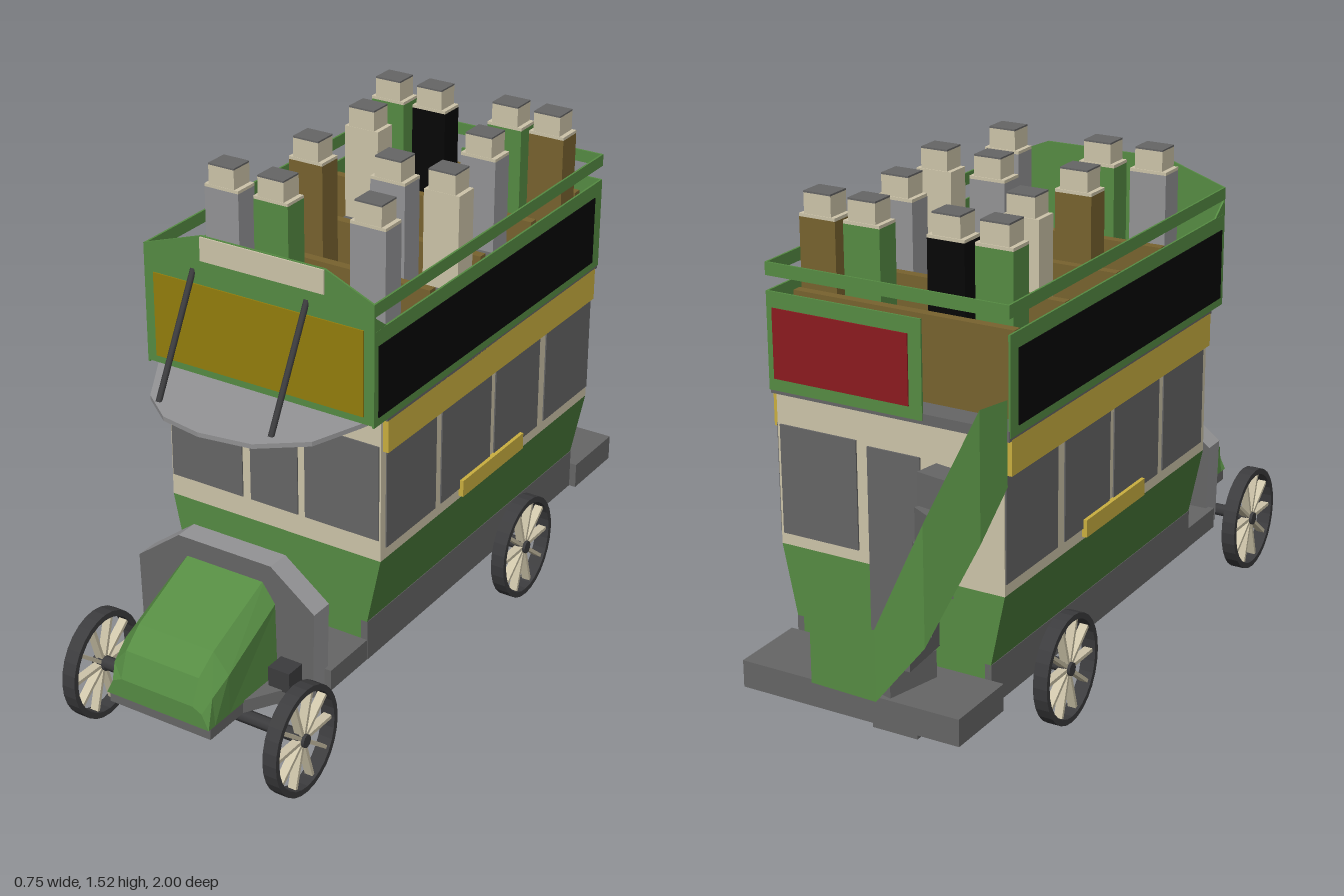
import * as THREE from 'three';

const mat = (name, color, side = THREE.FrontSide) => {
  const m = new THREE.MeshStandardMaterial({ color, side });
  m.name = name;
  return m;
};

export function createModel() {
  const green = mat('green', 0x568c43, THREE.DoubleSide);
  const cream = mat('cream', 0xcec5aa, THREE.DoubleSide);
  const grey = mat('grey', 0x666666);
  const lightGrey = mat('light grey', 0x949496);
  const dark = mat('iron', 0x3c3c3e);
  const yellow = mat('yellow', 0xcbb040);
  const gold = mat('gold', 0x947e0c);
  const black = mat('black', 0x060606);
  const red = mat('red', 0x8c1a1f);
  const brown = mat('brown', 0x78632f);

  const bus = new THREE.Group();
  bus.name = 'openTopBus';

  const add = (name, geometry, material, parent = bus) => {
    const m = new THREE.Mesh(geometry, material);
    m.name = name;
    parent.add(m);
    return m;
  };
  // box given by its limits on each axis
  const box = (name, material, x0, x1, y0, y1, z0, z1, parent) => {
    const m = add(name, new THREE.BoxGeometry(x1 - x0, y1 - y0, z1 - z0), material, parent);
    m.position.set((x0 + x1) / 2, (y0 + y1) / 2, (z0 + z1) / 2);
    return m;
  };
  // surface through equal-length cross-sections
  const loft = (sections, closed) => {
    const pos = [], n = sections[0].length;
    for (let i = 0; i + 1 < sections.length; i++) {
      for (let j = 0; j < (closed ? n : n - 1); j++) {
        const k = (j + 1) % n;
        const a = sections[i][j], b = sections[i][k], c = sections[i + 1][k], d = sections[i + 1][j];
        pos.push(...a, ...b, ...c, ...a, ...c, ...d);
      }
    }
    const g = new THREE.BufferGeometry();
    g.setAttribute('position', new THREE.Float32BufferAttribute(pos, 3));
    g.computeVertexNormals();
    return g;
  };
  const shapeOf = (pts) => new THREE.Shape(pts.map((p) => new THREE.Vector2(...p)));
  const extrude = (pts, depth) => new THREE.ExtrudeGeometry(shapeOf(pts), { depth, bevelEnabled: false });
  const rod = (name, a, b, r, material) => {
    const from = new THREE.Vector3(...a), to = new THREE.Vector3(...b);
    const m = add(name, new THREE.CylinderGeometry(r, r, from.distanceTo(to), 8), material);
    m.position.copy(from).add(to).multiplyScalar(0.5);
    m.quaternion.setFromUnitVectors(new THREE.Vector3(0, 1, 0), to.sub(from).normalize());
    return m;
  };

  // Saloon: open-bottomed walls, flared below the windows
  const ring = (w, y) => [[-w, y, 0.435], [w, y, 0.435], [w, y, -0.76], [-w, y, -0.76]];
  add('lowerBody', loft([ring(0.298, 0.26), ring(0.355, 0.535)], true), green);
  add('saloonWalls', loft([ring(0.355, 0.535), ring(0.355, 0.98)], true), cream);

  // Windows, door and advertising boards
  for (const [a, b] of [[-0.35, -0.105], [-0.077, 0.083], [0.107, 0.35]])
    box('frontWindow', grey, a, b, 0.602, 0.894, 0.434, 0.439);
  box('rearWindow', grey, 0.1, 0.345, 0.57, 0.89, -0.765, -0.759);
  box('rearDoor', grey, -0.1, 0.065, 0.28, 0.88, -0.765, -0.755);
  for (const s of [-1, 1]) {
    const side = new THREE.Group();
    side.name = s > 0 ? 'leftSide' : 'rightSide';
    bus.add(side);
    const plate = (name, m, x0, x1, y0, y1, z0, z1) =>
      box(name, m, Math.min(s * x0, s * x1), Math.max(s * x0, s * x1), y0, y1, z0, z1, side);
    for (const [a, b] of [[0.15, 0.41], [-0.155, 0.12], [-0.44, -0.18], [-0.757, -0.48]])
      plate('sideWindow', grey, 0.354, 0.359, 0.57, 0.89, a, b);
    plate('upperBoard', yellow, 0.355, 0.372, 0.877, 0.978, -0.75, 0.425);
    plate('lowerBoard', yellow, 0.355, 0.37, 0.545, 0.597, -0.335, 0.015);
    plate('chassisSkirt', grey, 0.292, 0.313, 0.2, 0.325, -0.76, 0.435);
    plate('deckSide', green, 0.368, 0.374, 0.985, 1.265, -0.76, 0.5);
    plate('deckSidePanel', black, 0.373, 0.377, 1.01, 1.22, -0.72, 0.48);
    plate('deckRail', green, 0.368, 0.374, 1.308, 1.345, -0.76, 0.5);
    const gusset = add('railGusset', extrude([[-0.5, 1.265], [-0.44, 1.265], [-0.5, 1.31]], 0.005), green, side);
    gusset.rotation.y = Math.PI / 2;
    gusset.position.x = s * 0.371 - 0.0025;
    plate('headlamp', dark, 0.185, 0.255, 0.235, 0.3, 0.66, 0.74);
  }

  // Upper deck
  box('deckFloor', grey, -0.372, 0.372, 0.975, 1.005, -0.762, 0.43);
  add('deckFront', extrude([[-0.374, 0.99], [0.374, 0.99], [0.374, 1.345], [0.22, 1.41], [-0.18, 1.41], [-0.374, 1.345]], 0.006), green)
    .position.z = 0.494;
  box('frontPanel', gold, -0.342, 0.342, 1.012, 1.265, 0.499, 0.504);
  box('destinationBoard', cream, -0.18, 0.22, 1.338, 1.408, 0.499, 0.505);
  box('deckRear', green, -0.11, 0.374, 0.985, 1.265, -0.764, -0.758);
  box('deckRearPanel', red, -0.07, 0.355, 1.02, 1.22, -0.768, -0.763);
  box('rearRail', green, -0.374, 0.374, 1.308, 1.345, -0.764, -0.758);

  // Canopy over the driver, with its two stays
  const canopy = add('canopy', extrude([[-0.355, -0.43], [-0.34, -0.5], [-0.25, -0.655], [-0.15, -0.73], [-0.02, -0.752],
    [0.14, -0.73], [0.27, -0.64], [0.33, -0.5], [0.355, -0.43]].reverse(), 0.014), lightGrey);
  canopy.rotation.x = -Math.PI / 2 + 0.05;
  canopy.position.set(0, 0.997, 0);
  for (const x of [-0.21, 0.16]) rod('canopyStay', [x, 0.975, 0.67], [x, 1.305, 0.495], 0.009, dark);

  // Cab: floor, dashboard arch and the tapering front frame
  box('cabFloor', grey, -0.312, 0.312, 0.2, 0.265, 0.43, 0.62);
  add('dashboard', extrude([[-0.29, 0.2], [0.29, 0.2], [0.297, 0.47], [0.155, 0.578], [-0.155, 0.578], [-0.297, 0.47]], 0.072), [grey, lightGrey])
    .position.z = 0.605;
  const wedge = add('underTray', extrude([[-0.685, 0.14], [-0.57, 0.205], [-0.685, 0.205]], 0.42), grey);
  wedge.rotation.y = Math.PI / 2;
  wedge.position.x = -0.21;
  const frame = add('frontFrame', extrude([[-0.28, -0.66], [0.28, -0.66], [0.17, -0.84], [0.17, -0.99], [-0.17, -0.99], [-0.17, -0.84]].reverse(), 0.04), grey);
  frame.rotation.x = -Math.PI / 2;
  frame.position.y = 0.2;

  // Bonnet, sloping to the nose
  const hood = (z, wm, ym, wt, yt) => [[-0.172, 0.235, z], [-wm, ym, z], [-wt, yt, z], [wt, yt, z], [wm, ym, z], [0.172, 0.235, z]];
  add('bonnet', loft([
    hood(0.66, 0.168, 0.47, 0.127, 0.528),
    hood(0.905, 0.174, 0.36, 0.125, 0.42),
    hood(0.97, 0.165, 0.32, 0.122, 0.37),
    hood(1.0, 0.15, 0.28, 0.12, 0.295),
    Array(6).fill([0, 0.235, 1.0]),
  ], true), green);

  // Wheels and axles
  const rimProfile = [[0.148, -0.022], [0.166, -0.022], [0.166, 0.022], [0.148, 0.022], [0.148, -0.022]];
  const rim = new THREE.LatheGeometry(rimProfile.map((p) => new THREE.Vector2(...p)), 28).toNonIndexed();
  rim.computeVertexNormals();
  for (const z of [0.815, -0.4]) {
    rod('axle', [-0.345, 0.172, z], [0.345, 0.172, z], 0.02, dark);
    for (const x of [-0.342, 0.342]) {
      const wheel = new THREE.Group();
      wheel.name = 'wheel';
      wheel.position.set(x, 0.166, z);
      wheel.scale.z = 0.9;
      bus.add(wheel);
      add('rim', rim, dark, wheel).rotation.z = Math.PI / 2;
      add('hub', new THREE.CylinderGeometry(0.02, 0.02, 0.044, 12), dark, wheel).rotation.z = Math.PI / 2;
      for (let i = 0; i < 10; i++) {
        const a = (i + 0.5) * Math.PI / 5;
        const spoke = add('spoke', new THREE.BoxGeometry(0.026, 0.132, 0.011), cream, wheel);
        spoke.position.set(0, Math.cos(a) * 0.084, Math.sin(a) * 0.084);
        spoke.rotation.x = a;
      }
    }
  }

  // Rear platform and winding stair
  box('platform', grey, -0.35, 0.335, 0.2, 0.28, -0.99, -0.76);
  box('boardingStep', grey, -0.2, -0.06, 0.165, 0.2, -0.955, -0.77);
  for (let i = 0; i < 6; i++) {
    const a = -0.25 + i * 0.33;
    const y = 0.265 + i * 0.103;
    const step = add('stairTread', new THREE.BoxGeometry(0.075, 0.095, 0.17), grey);
    step.position.set(-0.14 - Math.sin(a) * 0.09, y + 0.048, -0.8 - Math.cos(a) * 0.09);
    step.rotation.y = a;
  }
  const stairs = [[0.11, -0.99, 0.27, 0.42], [-0.1, -0.998, 0.27, 0.48], [-0.24, -0.975, 0.45, 0.8],
    [-0.34, -0.857, 0.72, 1.09], [-0.365, -0.76, 0.85, 1.09]];
  add('stairPanel', loft(stairs.map(([x, z, y0, y1]) => [[x, y0, z], [x, y1, z]]), false), green);

  // Benches with seated passengers
  const rows = [
    { back: -0.685, z: -0.605, riders: [[-0.26, green], [-0.115, black], [0.145, green], [0.285, brown]] },
    { back: -0.42, z: -0.35, riders: [[-0.19, cream], [0.205, lightGrey]] },
    { back: -0.13, z: -0.058, riders: [[-0.19, brown], [0.085, lightGrey], [0.26, cream]] },
    { back: 0.14, z: 0.238, riders: [[-0.27, lightGrey], [-0.105, green], [0.21, lightGrey]] },
  ];
  for (const { back, z, riders } of rows) {
    box('benchBack', brown, -0.343, 0.34, 1.0, 1.25, back, back + 0.028);
    box('benchSeat', brown, -0.343, 0.34, 1.0, 1.11, back + 0.028, back + 0.163);
    for (const [x, coat] of riders) {
      const rider = new THREE.Group();
      rider.name = 'passenger';
      rider.position.set(x, 0, z);
      bus.add(rider);
      box('torso', coat, -0.057, 0.057, 1.11, 1.444, -0.039, 0.039, rider);
      box('collar', cream, -0.057, 0.057, 1.444, 1.453, -0.039, 0.039, rider);
      box('head', cream, -0.043, 0.043, 1.453, 1.511, -0.036, 0.038, rider);
      box('hairTop', grey, -0.043, 0.043, 1.511, 1.516, -0.036, 0.038, rider);
      box('thighs', grey, -0.057, 0.057, 1.11, 1.165, 0.039, 0.14, rider);
      box('shins', grey, -0.057, 0.057, 1.0, 1.11, 0.075, 0.14, rider);
    }
  }
  return bus;
}
